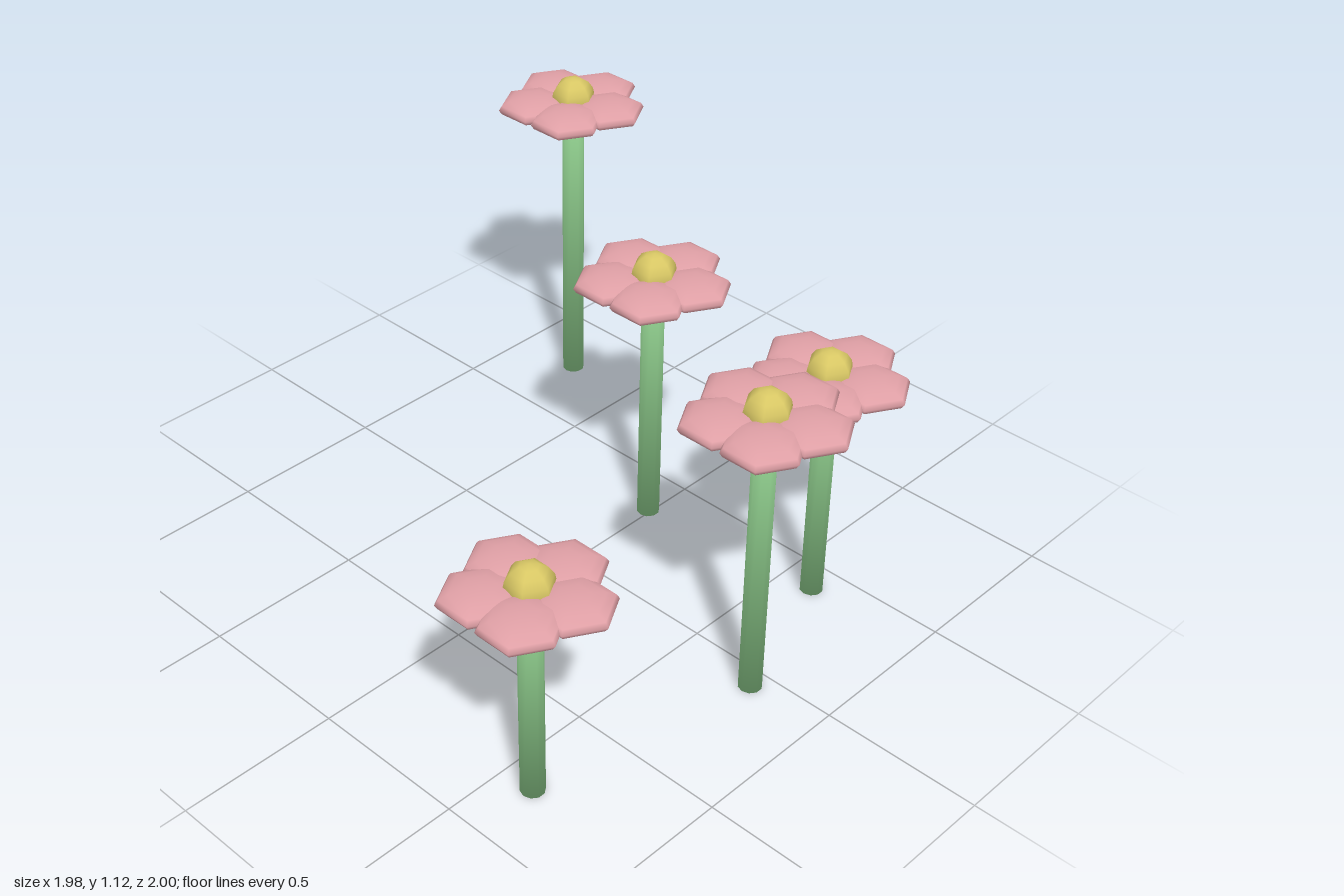
import * as THREE from 'three';

const STEM_RADIUS = 0.036;
const PETAL_RING = 0.125;

// Ten-sided stem from the ground up, softly shaded across its end rims
function stemGeometry(height) {
  const geo = new THREE.CylinderGeometry(STEM_RADIUS, STEM_RADIUS, height, 10);
  const pos = geo.attributes.position;
  const normal = geo.attributes.normal;
  const n = new THREE.Vector3();
  for (let i = 0; i < pos.count; i++) {
    n.set(pos.getX(i) / STEM_RADIUS, 0.8 * Math.sign(pos.getY(i)), pos.getZ(i) / STEM_RADIUS).normalize();
    normal.setXYZ(i, n.x, n.y, n.z);
  }
  return geo.rotateY(Math.PI / 2).translate(0, height / 2, 0);
}

export function createModel() {
  const green = new THREE.MeshStandardMaterial({ color: 0x8cc98a });
  green.name = 'stemGreen';
  const pink = new THREE.MeshStandardMaterial({ color: 0xe0a0a6 });
  pink.name = 'petalPink';
  const yellow = new THREE.MeshStandardMaterial({ color: 0xd9c865 });
  yellow.name = 'centreYellow';

  // Six-sided spheres with corners toward front and back
  const petalGeo = new THREE.SphereGeometry(0.12, 6, 8).rotateY(Math.PI / 2).scale(1, 0.31, 1);
  const centreGeo = new THREE.SphereGeometry(0.072, 6, 8).rotateY(Math.PI / 2);

  const add = (parent, name, geo, mat, x = 0, y = 0, z = 0) => {
    const mesh = new THREE.Mesh(geo, mat);
    mesh.name = name;
    mesh.position.set(x, y, z);
    parent.add(mesh);
  };

  const model = new THREE.Group();
  model.name = 'flowers';

  // x, z and petal height of each flower
  const flowers = [
    [-0.79, 0.608, 0.696],
    [-0.061, 0.758, 0.94],
    [0.338, -0.012, 0.86],
    [0.4, 0.608, 0.776],
    [0.758, -0.76, 1.025],
  ];
  for (const [x, z, height] of flowers) {
    const flower = new THREE.Group();
    flower.name = 'flower';
    flower.position.set(x, 0, z);
    add(flower, 'stem', stemGeometry(height), green);
    add(flower, 'flowerCentre', centreGeo, yellow, 0, height + 0.019, 0);
    // Ring of five petals
    for (let i = 0; i < 5; i++) {
      const a = (i / 5) * Math.PI * 2;
      add(flower, 'petal', petalGeo, pink, Math.cos(a) * PETAL_RING, height, Math.sin(a) * PETAL_RING);
    }
    model.add(flower);
  }
  return model;
}
